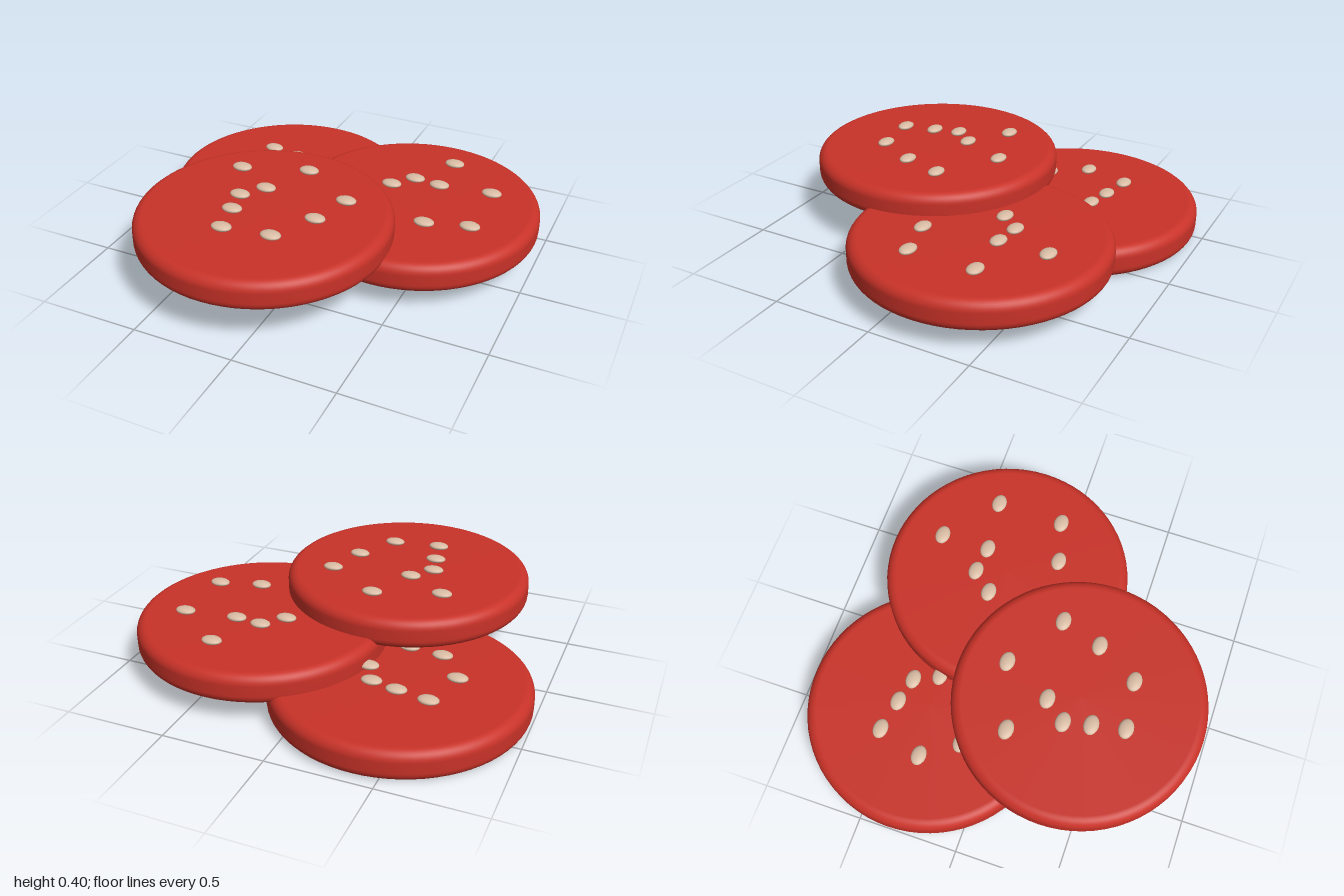
import * as THREE from 'three';

const RADIUS = 0.617, HEIGHT = 0.152, CORNER = 0.05;

// Each slice: centre x/z, underside height and seed positions (x, z)
const SLICES = [
  { name: 'bottomSlice', x: -0.383, y: 0, z: -0.351, seeds: [
    [-0.58, -0.535], [-0.42, -0.505], [-0.29, -0.475], [-0.645, -0.31],
    [-0.23, -0.355], [-0.52, -0.14], [-0.35, -0.12]] },
  { name: 'middleSlice', x: 0.383, y: 0.107, z: -0.213, seeds: [
    [0.46, -0.59], [0.325, -0.36], [0.46, -0.345], [0.725, -0.375],
    [0.235, -0.26], [0.51, 0.02], [0.72, -0.035], [0.2, 0.1]] },
  { name: 'topSlice', x: -0.172, y: 0.212, z: 0.348, seeds: [
    [-0.12, -0.035], [-0.44, 0.07], [-0.235, 0.205], [0.165, 0.155],
    [-0.32, 0.31], [0.1, 0.36], [-0.29, 0.44], [-0.255, 0.6], [-0.02, 0.57]] },
];

// Disc profile with rounded rims, from the bottom centre to the top centre
function discGeometry() {
  const points = [new THREE.Vector2(0, 0)];
  const steps = 8;
  for (const [cy, start] of [[CORNER, -Math.PI / 2], [HEIGHT - CORNER, 0]]) {
    for (let i = 0; i <= steps; i++) {
      const a = start + (i / steps) * Math.PI / 2;
      points.push(new THREE.Vector2(
        RADIUS - CORNER + CORNER * Math.cos(a), cy + CORNER * Math.sin(a)));
    }
  }
  points.push(new THREE.Vector2(0, HEIGHT));
  return new THREE.LatheGeometry(points, 72);
}

export function createModel() {
  const model = new THREE.Group();
  model.name = 'tomatoSlices';

  const red = new THREE.MeshStandardMaterial({ color: 0xc83228 });
  red.name = 'tomato red';
  const beige = new THREE.MeshStandardMaterial({ color: 0xd9bca4 });
  beige.name = 'seed beige';

  const disc = discGeometry();
  // Flattened oval seed, wider along x
  const seedGeometry = new THREE.SphereGeometry(1, 16, 10);
  seedGeometry.scale(0.051, 0.017, 0.037);

  for (const { name, x, y, z, seeds } of SLICES) {
    const slice = new THREE.Group();
    slice.name = name;
    slice.position.set(x, y, z);

    const body = new THREE.Mesh(disc, red);
    body.name = 'sliceBody';
    slice.add(body);

    // Seeds resting on the top face
    for (const [sx, sz] of seeds) {
      const seed = new THREE.Mesh(seedGeometry, beige);
      seed.name = 'seed';
      seed.position.set(sx - x, HEIGHT + 0.021, sz - z);
      slice.add(seed);
    }
    model.add(slice);
  }
  return model;
}
